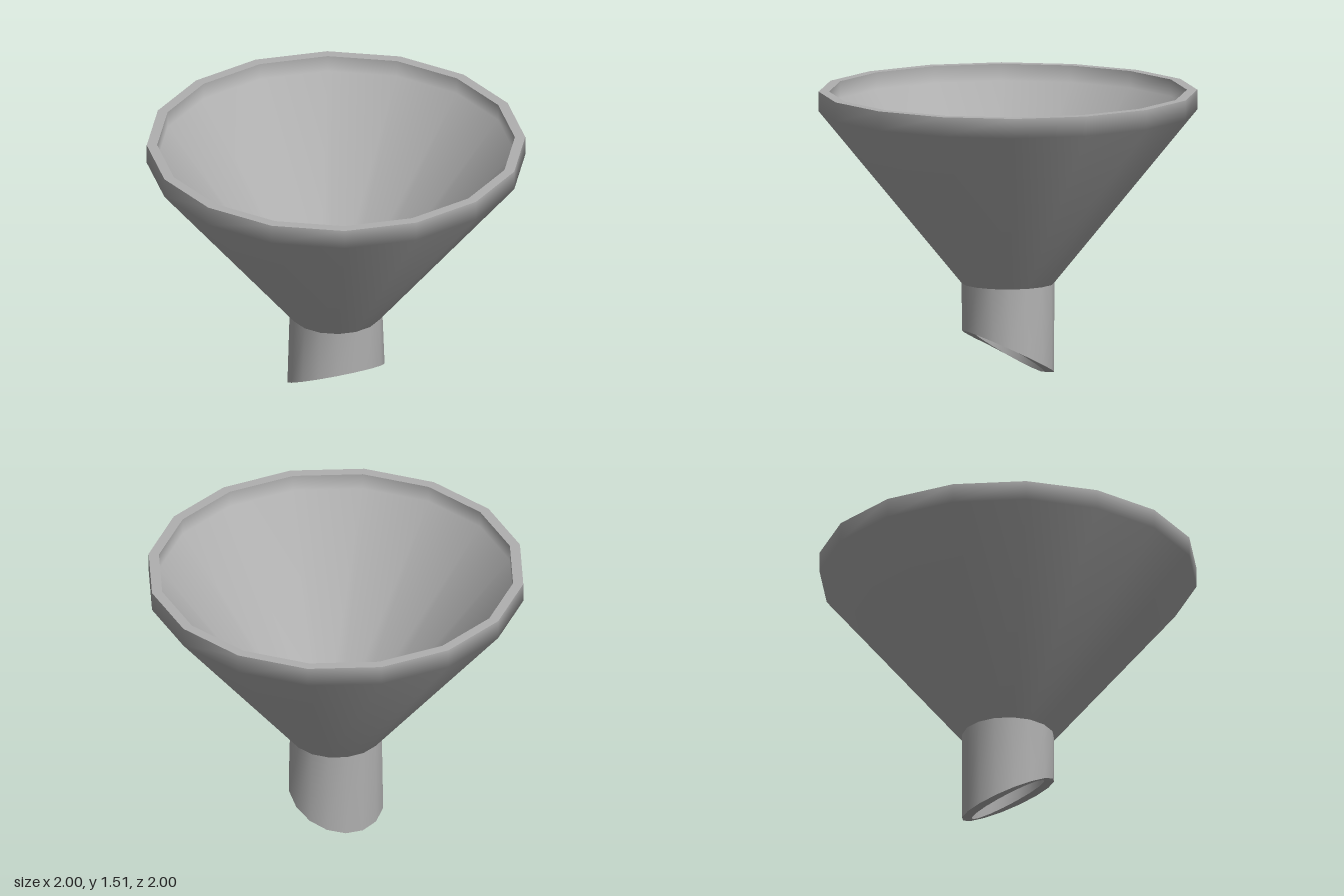
import * as THREE from 'three';

const SIDES = 16;

// A ring of points: x and z radii, and a height that rises by tilt toward the front.
const ring = (rx, y, rz = rx, tilt = 0) =>
  Array.from({ length: SIDES }, (_, i) => {
    const a = (i / SIDES) * Math.PI * 2;
    return [Math.sin(a) * rx, y + tilt * Math.cos(a), Math.cos(a) * rz];
  });

// Joins successive rings into a closed band with smooth normals.
function band(name, rings, material) {
  const index = [];
  for (let r = 0; r < rings.length - 1; r++) {
    for (let i = 0; i < SIDES; i++) {
      const j = (i + 1) % SIDES;
      const a = r * SIDES + i, b = r * SIDES + j;
      const c = a + SIDES, d = b + SIDES;
      index.push(a, b, d, a, d, c);
    }
  }
  const geometry = new THREE.BufferGeometry();
  geometry.setAttribute('position', new THREE.Float32BufferAttribute(rings.flat(2), 3));
  geometry.setIndex(index);
  geometry.computeVertexNormals();
  const mesh = new THREE.Mesh(geometry, material);
  mesh.name = name;
  return mesh;
}

export function createModel() {
  const group = new THREE.Group();
  group.name = 'funnel';
  const grey = new THREE.MeshStandardMaterial({ color: 0xb0b0b0 });
  grey.name = 'grey';

  // Slanted spout mouth, slightly wider than deep
  const mouthOuter = ring(0.26, 0.12, 0.24, 0.12);
  const mouthInner = ring(0.205, 0.12, 0.19, 0.12);
  const neckOuter = ring(0.245, 0.485);
  const neckInner = ring(0.195, 0.47);
  const topOuter = ring(1, 1.51);
  const topInner = ring(0.945, 1.51);

  group.add(
    // Outside, from the mouth upward
    band('spoutOuter', [mouthOuter, neckOuter], grey),
    band('bowlOuter', [neckOuter, ring(1, 1.405), topOuter], grey),
    // Flat top edge
    band('rim', [topOuter, topInner], grey),
    // Inside, from the rim downward
    band('bowlInner', [topInner, ring(0.945, 1.42), neckInner], grey),
    band('spoutInner', [neckInner, mouthInner], grey),
    // Cut edge of the spout
    band('spoutEdge', [mouthInner, mouthOuter], grey),
  );
  return group;
}
